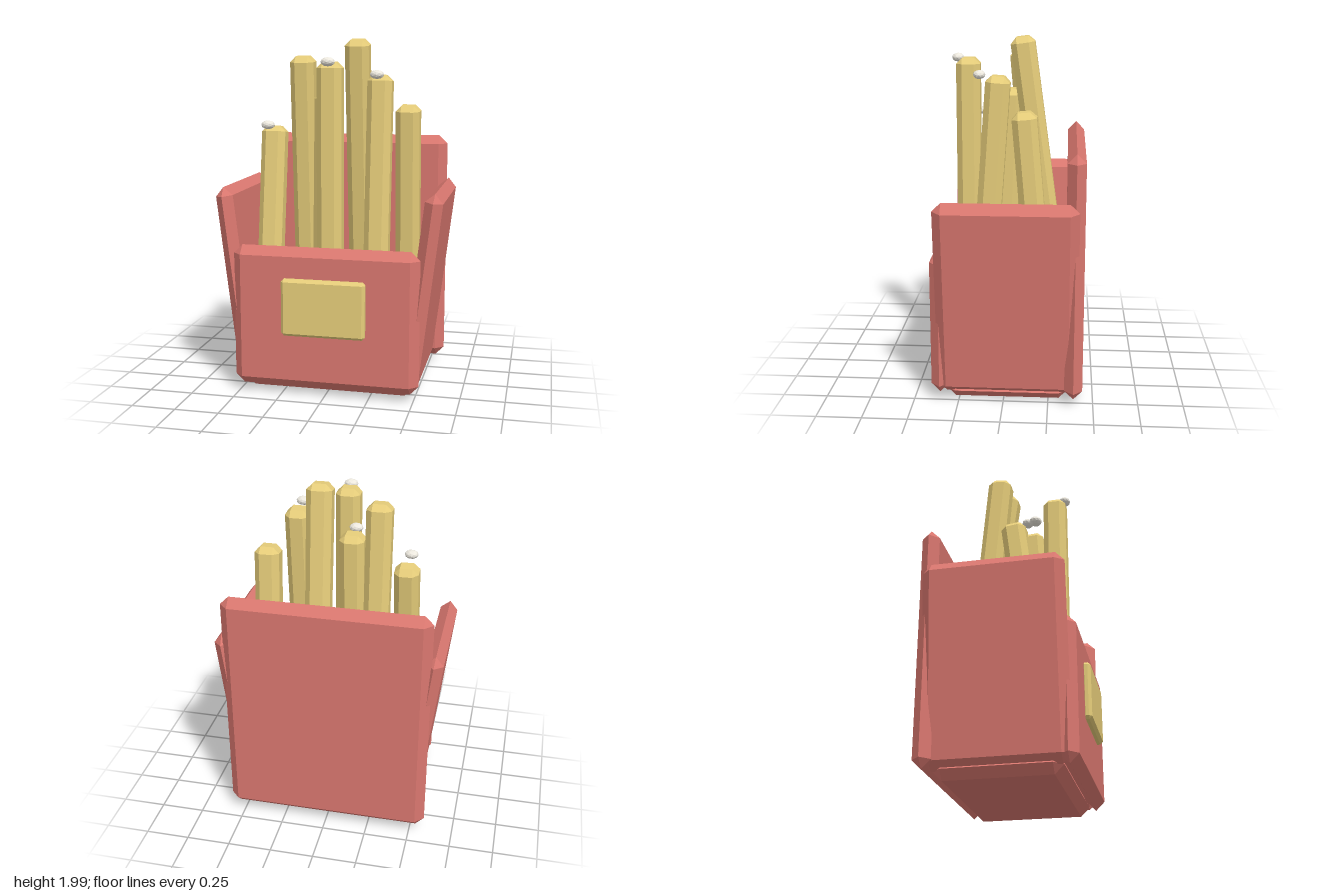
import * as THREE from 'three';
import { ConvexGeometry } from 'three/addons/geometries/ConvexGeometry.js';

const mat = (color) => new THREE.MeshStandardMaterial({ color, flatShading: true });

// Box with every edge cut at 45 degrees by b
function chamferBox(w, h, d, b) {
  const x = w / 2, y = h / 2, z = d / 2, c = b * 0.995, pts = [];
  for (const i of [-1, 1]) for (const j of [-1, 1]) for (const k of [-1, 1]) {
    pts.push(
      new THREE.Vector3(i * x, j * (y - c), k * (z - c)),
      new THREE.Vector3(i * (x - c), j * y, k * (z - c)),
      new THREE.Vector3(i * (x - c), j * (y - c), k * z));
  }
  return new ConvexGeometry(pts);
}

export function createModel() {
  const model = new THREE.Group();
  model.name = 'boxOfFries';
  const red = mat(0xd9776f), gold = mat(0xe6cd7a), white = mat(0xece8de);

  const add = (name, geometry, material, x, y, z) => {
    const mesh = new THREE.Mesh(geometry, material);
    mesh.name = name;
    mesh.position.set(x, y, z);
    model.add(mesh);
    return mesh;
  };

  // Carton: base, upright front and back, sides leaning outwards
  add('base', chamferBox(0.98, 0.1, 0.68, 0.05), red, 0, 0.05, -0.018);
  add('backPanel', chamferBox(1.17, 1.38, 0.1, 0.05), red, 0, 0.73, -0.39);
  add('frontPanel', chamferBox(1.06, 0.81, 0.1, 0.05), red, 0, 0.445, 0.355);
  for (const side of [1, -1]) {
    const panel = add(side > 0 ? 'leftPanel' : 'rightPanel',
      chamferBox(0.1, 1.13, 0.78, 0.05), red, side * 0.532, 0.605, -0.02);
    panel.rotation.z = -side * 0.12;
  }

  // Plain label on the front
  add('label', chamferBox(0.475, 0.325, 0.05, 0.016), gold, 0, 0.517, 0.416);

  // Fries: [top x, y, z], [bottom x, y, z]
  const fries = [
    [[0.09, 1.99, -0.08], [0.08, 0.4, -0.3]],
    [[-0.23, 1.895, -0.06], [-0.235, 0.4, -0.19]],
    [[0, 1.865, 0.228], [0, 0.4, 0.228]],
    [[0.248, 1.79, 0.04], [0.243, 0.4, 0.14]],
    [[-0.07, 1.685, -0.008], [-0.075, 0.35, 0.04]],
    [[0.385, 1.615, -0.105], [0.38, 0.35, -0.215]],
    [[-0.37, 1.495, 0.045], [-0.378, 0.3, 0.203]],
  ];
  const up = new THREE.Vector3(0, 1, 0);
  for (const [t, b] of fries) {
    const top = new THREE.Vector3(...t), bottom = new THREE.Vector3(...b);
    const axis = top.clone().sub(bottom), mid = top.clone().add(bottom).multiplyScalar(0.5);
    const fry = add('fry', chamferBox(0.14, axis.length(), 0.135, 0.034), gold, mid.x, mid.y, mid.z);
    fry.quaternion.setFromUnitVectors(up, axis.normalize());
  }

  // Salt grains
  const grain = new THREE.IcosahedronGeometry(1, 1);
  for (const p of [[-0.375, 1.51, 0.175], [-0.075, 1.69, 0.07], [0, 1.865, 0.287], [0.245, 1.795, 0.145]]) {
    add('saltGrain', grain, white, ...p).scale.set(0.04, 0.025, 0.034);
  }
  return model;
}
